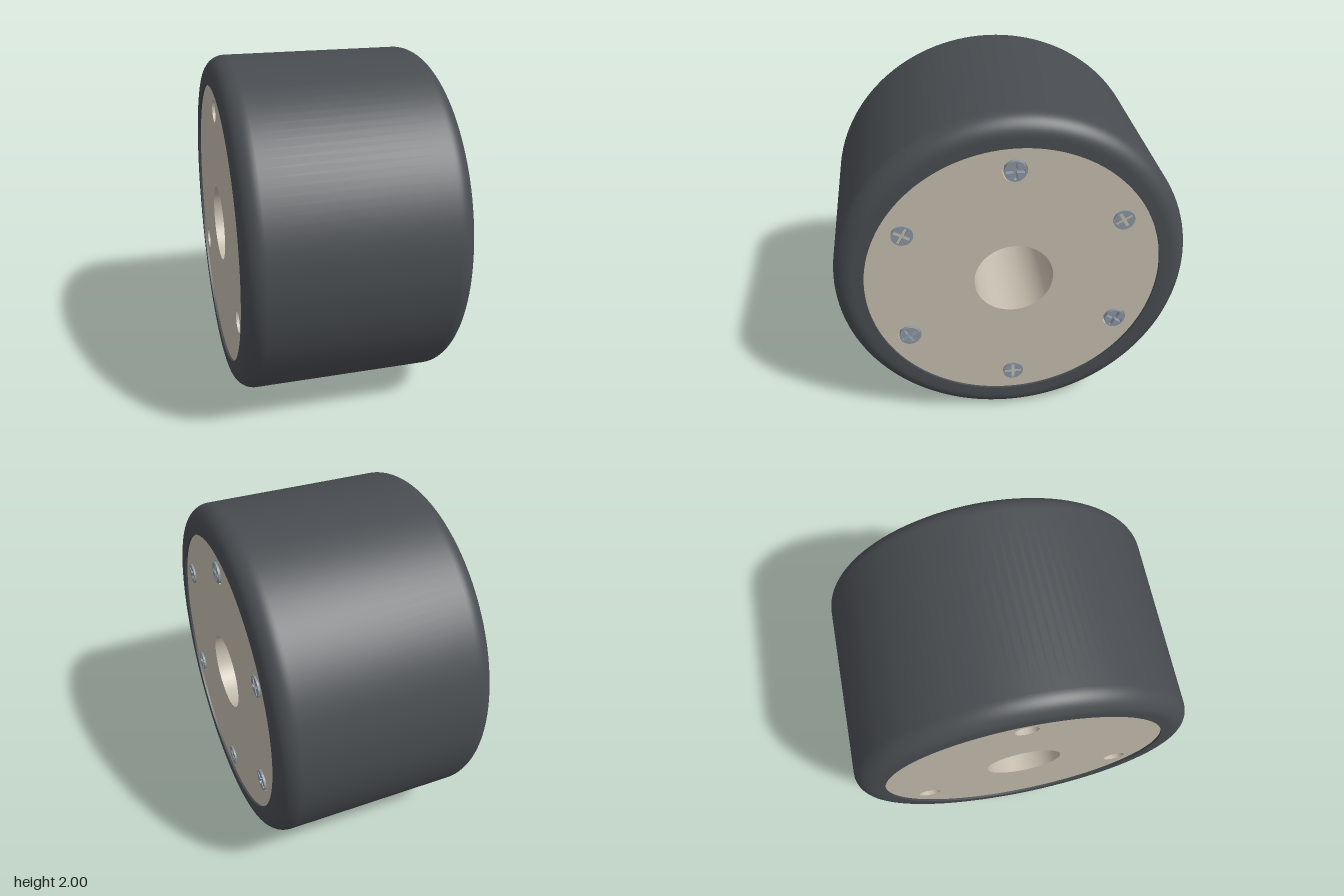
import * as THREE from 'three';
import { toCreasedNormals } from 'three/addons/utils/BufferGeometryUtils.js';

const HALF_WIDTH = 0.63, FACE = 0.617, RIM = 0.833, BORE = 0.223;
const SCREW_CIRCLE = 0.697, SCREW_RADIUS = 0.06, HOLE_RADIUS = 0.067;

const material = (color) => new THREE.MeshStandardMaterial({ color });

function circle(x, y, r, Type = THREE.Path) {
  return new Type().absarc(x, y, r, 0, Math.PI * 2, false);
}

function addMesh(parent, name, geometry, mat) {
  const mesh = new THREE.Mesh(toCreasedNormals(geometry, 0.5), mat);
  mesh.name = name;
  parent.add(mesh);
  return mesh;
}

// Tyre ring with rounded shoulders, axis along z
function tyreGeometry() {
  const r = 0.11, profile = [new THREE.Vector2(RIM, -HALF_WIDTH)];
  for (const side of [-1, 1]) {
    for (let i = 0; i <= 12; i++) {
      const a = (side < 0 ? i - 12 : i) / 12 * Math.PI / 2;
      profile.push(new THREE.Vector2(1 - r + r * Math.cos(a), side * (HALF_WIDTH - r) + r * Math.sin(a)));
    }
  }
  profile.push(new THREE.Vector2(RIM, HALF_WIDTH), new THREE.Vector2(RIM, -HALF_WIDTH));
  return new THREE.LatheGeometry(profile, 128).rotateX(Math.PI / 2);
}

// Solid hub with the axle bore and every other screw hole drilled right through
function hubGeometry(angles) {
  const shape = circle(0, 0, RIM, THREE.Shape);
  shape.holes.push(circle(0, 0, BORE));
  angles.filter((_, i) => i % 2 === 0).forEach((a) => {
    shape.holes.push(circle(SCREW_CIRCLE * Math.cos(a), SCREW_CIRCLE * Math.sin(a), HOLE_RADIUS));
  });
  return new THREE.ExtrudeGeometry(shape, { depth: 2 * FACE, bevelEnabled: false, curveSegments: 64 })
    .translate(0, 0, -FACE);
}

// Thin screw head with a cross-shaped slot
function screwHeadGeometry() {
  const shape = circle(0, 0, SCREW_RADIUS, THREE.Shape);
  const w = 0.009, l = 0.05;
  const cross = [[l, -w], [l, w], [w, w], [w, l], [-w, l], [-w, w],
    [-l, w], [-l, -w], [-w, -w], [-w, -l], [w, -l], [w, -w]];
  shape.holes.push(new THREE.Path(cross.map(([x, y]) => new THREE.Vector2(x, y))));
  return new THREE.ExtrudeGeometry(shape, { depth: 0.028, bevelEnabled: false, curveSegments: 20 })
    .translate(0, 0, 0.6);
}

export function createModel() {
  const model = new THREE.Group();
  model.name = 'wheel';
  model.position.y = 1;
  model.rotation.y = Math.PI / 2; // axle along x, screwed face towards +x

  const steel = material(0x8a959f);
  const angles = Array.from({ length: 6 }, (_, i) => Math.PI / 2 + i * Math.PI / 3);

  addMesh(model, 'tyre', tyreGeometry(), material(0x484c50));
  addMesh(model, 'hub', hubGeometry(angles), material(0xc4bcad));

  // Ring of screws, each turned to line up with the wheel centre
  const head = screwHeadGeometry();
  const shaft = new THREE.CylinderGeometry(0.054, 0.04, 0.3, 24).rotateX(Math.PI / 2).translate(0, 0, 0.452);
  angles.forEach((a) => {
    const screw = new THREE.Group();
    screw.name = 'screw';
    screw.position.set(SCREW_CIRCLE * Math.cos(a), SCREW_CIRCLE * Math.sin(a), 0);
    screw.rotation.z = a;
    addMesh(screw, 'screwHead', head, steel);
    addMesh(screw, 'screwShaft', shaft, steel);
    model.add(screw);
  });

  const root = new THREE.Group();
  root.add(model);
  return root;
}
